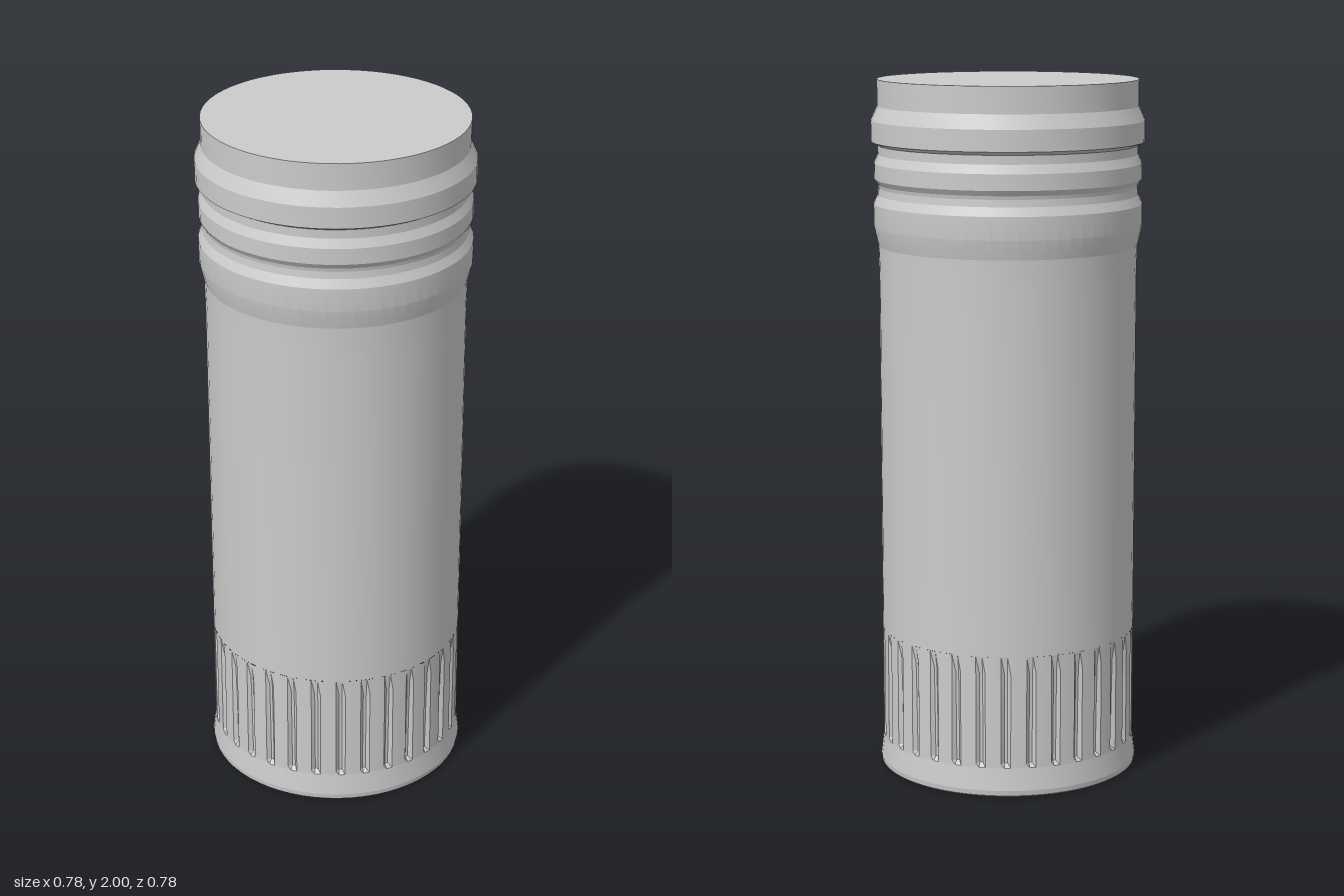
import * as THREE from 'three';
import { toCreasedNormals } from 'three/addons/utils/BufferGeometryUtils.js';

const material = new THREE.MeshStandardMaterial({ color: 0xcccccc });
const BODY = 0.368;

// Revolve a list of [radius, height] pairs, keeping profile edges crisp.
function turned(name, profile, segments = 64) {
  const points = profile.map(([r, y]) => new THREE.Vector2(r, y));
  const geometry = toCreasedNormals(new THREE.LatheGeometry(points, segments), 0.25);
  const mesh = new THREE.Mesh(geometry, material);
  mesh.name = name;
  return mesh;
}

// Band of narrow upright flutes, deepest at the foot and running out at the top.
function flutedBand() {
  const count = 32, steps = 8, depth = 0.012;
  const rows = [[0.085, 0], [0.097, 1], [0.25, 0.8], [0.36, 0.6], [0.41, 0]];
  const segments = count * steps;
  const geometry = new THREE.LatheGeometry(
    rows.map(([y]) => new THREE.Vector2(BODY, y)), segments);
  const position = geometry.attributes.position;
  for (let i = 0; i <= segments; i++) {
    if (i % steps > 1) continue;
    rows.forEach(([, cut], j) => {
      const k = i * rows.length + j;
      const scale = 1 - (depth * cut) / BODY;
      position.setX(k, position.getX(k) * scale);
      position.setZ(k, position.getZ(k) * scale);
    });
  }
  const mesh = new THREE.Mesh(toCreasedNormals(geometry, 0.3), material);
  mesh.name = 'flutedBand';
  return mesh;
}

export function createModel() {
  const group = new THREE.Group();
  group.name = 'ringedCap';

  // Hollow underside with a small central dimple
  group.add(turned('baseRecess', [
    [0, 0.2], [0.05, 0.19], [0.06, 0.17], [0.11, 0.145], [0.28, 0.13], [0.368, 0],
  ]));

  // Slightly flared foot
  group.add(turned('footRim', [
    [0.368, 0], [0.374, 0.005], [0.376, 0.02], [BODY, 0.085],
  ]));

  group.add(flutedBand());

  // Plain straight wall
  group.add(turned('bodyWall', [[BODY, 0.41], [BODY, 1.45], [0.37, 1.53]]));

  // Three raised rings parted by grooves
  group.add(turned('neckRings', [
    [0.37, 1.53], [0.383, 1.585], [0.383, 1.65], [0.371, 1.675], [0.369, 1.695],
    [0.371, 1.705], [0.381, 1.72], [0.381, 1.765], [0.37, 1.79], [0.37, 1.815],
    [0.389, 1.825], [0.389, 1.885], [0.371, 1.925],
  ]));

  // Upper collar and flat closed top
  group.add(turned('topCollar', [[0.371, 1.925], [0.371, 2], [0, 2]]));

  return group;
}
